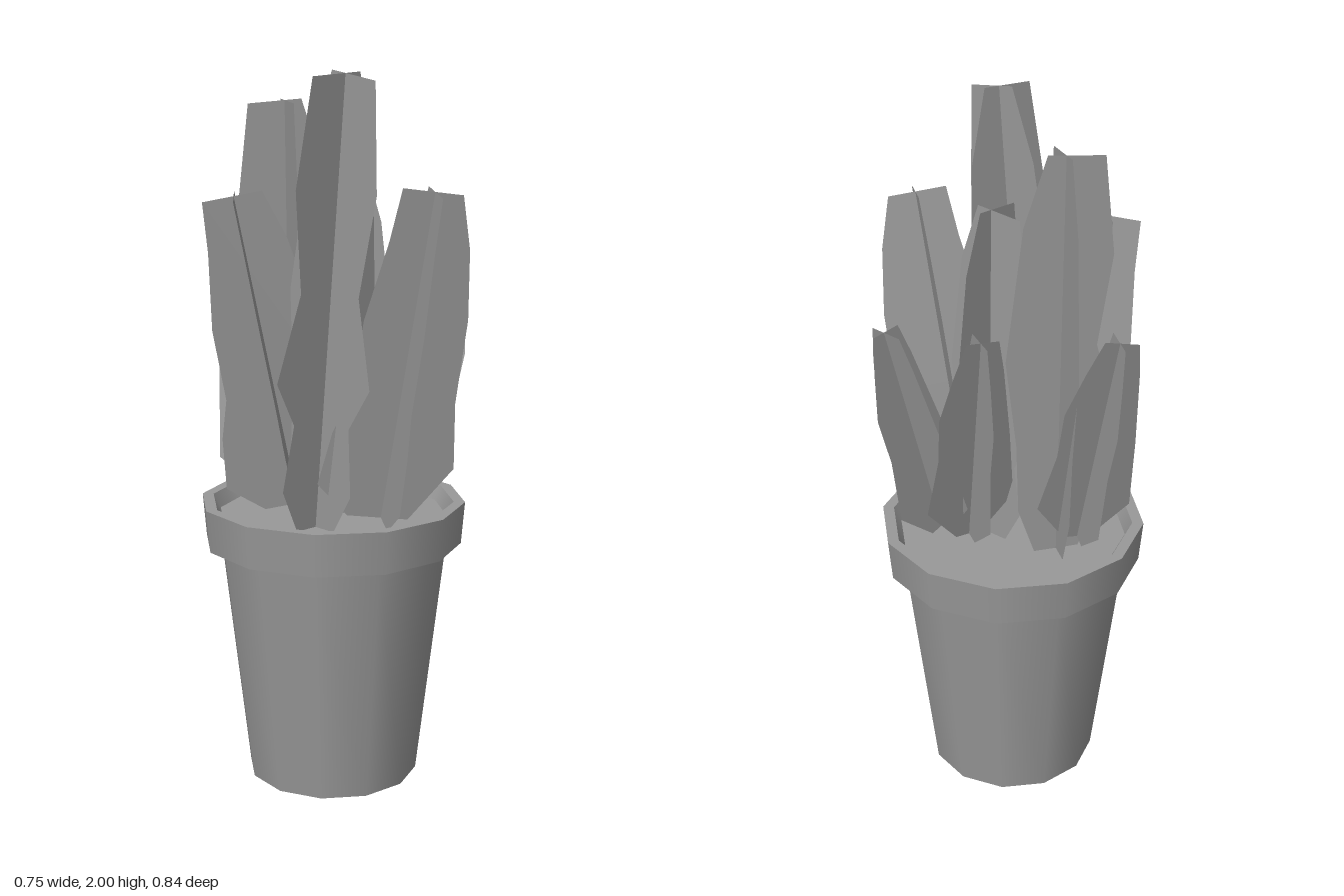
import * as THREE from 'three';

const mat = new THREE.MeshStandardMaterial({ color: 0x999999 });
const leafMat = new THREE.MeshStandardMaterial({ color: 0x999999, side: THREE.DoubleSide });

// One ring per profile step, so rims stay sharp while the round stays smooth
function rings(name, profile) {
  const group = new THREE.Group();
  group.name = name;
  for (let i = 0; i < profile.length - 1; i++) {
    const pts = [profile[i], profile[i + 1]].map(([r, y]) => new THREE.Vector2(r, y));
    const geo = new THREE.LatheGeometry(pts, 12);
    geo.normalizeNormals();
    const mesh = new THREE.Mesh(geo, mat);
    mesh.name = name + 'Ring';
    group.add(mesh);
  }
  return group;
}

// Ragged leaf outlines: [half-width factor, position along the leaf]
const BROAD = [[0.4, 0.03], [0.95, 0.2], [0.8, 0.4], [0.77, 0.65], [0.62, 0.85], [0.4, 1],
  [-0.45, 1], [-0.52, 0.85], [-0.7, 0.62], [-0.72, 0.4], [-0.9, 0.28], [-1, 0.12], [-0.5, 0.03]];
const TALL = [[0.4, 0], [0.7, 0.12], [0.75, 0.3], [0.95, 0.52], [0.68, 0.84], [0.3, 1],
  [-0.65, 0.99], [-0.85, 0.76], [-0.62, 0.54], [-1, 0.35], [-0.6, 0.25], [-0.75, 0.1], [-0.4, 0]];
const SMALL = [[0.3, 0.05], [1, 0.22], [0.8, 0.48], [0.82, 0.68], [0.55, 0.86], [0.3, 1],
  [-0.4, 0.98], [-0.55, 0.84], [-0.8, 0.52], [-1, 0.2], [-0.3, 0.05]];

// Two flat cards crossing along the spine from base to tip
function crossedLeaf({ base, tip, angle, width, outline }) {
  const group = new THREE.Group();
  group.name = 'leaf';
  const b = new THREE.Vector3(...base);
  const spine = new THREE.Vector3(...tip).sub(b);
  const length = spine.length();
  const up = spine.normalize();
  const a = THREE.MathUtils.degToRad(angle);
  const side = new THREE.Vector3(Math.cos(a), 0, Math.sin(a));
  side.addScaledVector(up, -side.dot(up)).normalize();
  const out = new THREE.Vector3().crossVectors(side, up);
  [[side, out, 1], [out, side.clone().negate(), -1]].forEach(([x, z, flip]) => {
    const shape = new THREE.Shape(outline.map(([w, t]) => new THREE.Vector2(w * width * flip, t * length)));
    const geo = new THREE.ShapeGeometry(shape);
    geo.applyMatrix4(new THREE.Matrix4().makeBasis(x, up, z).setPosition(b));
    const card = new THREE.Mesh(geo, leafMat);
    card.name = 'leafCard';
    group.add(card);
  });
  return group;
}

export function createModel() {
  const model = new THREE.Group();
  model.name = 'pottedPlant';

  // Tapered pot, overhanging rim and soil
  model.add(rings('pot', [[0, 0], [0.245, 0], [0.325, 0.69]]));
  model.add(rings('rim', [[0.31, 0.69], [0.367, 0.69], [0.377, 0.81], [0.345, 0.81], [0.325, 0.77]]));
  model.add(rings('soil', [[0.326, 0.77], [0, 0.77]]));

  // Leaves; angle is the heading of the first card from +x towards +z
  const leaves = [
    { base: [-0.155, 0.77, 0.06], tip: [-0.18, 1.99, 0.18], angle: 10, width: 0.17, outline: TALL },
    { base: [0.015, 0.77, -0.165], tip: [0.005, 1.92, -0.17], angle: 37, width: 0.16, outline: TALL },
    { base: [0.062, 0.77, 0.035], tip: [0.058, 1.75, 0.025], angle: 92, width: 0.145, outline: TALL },
    { base: [-0.05, 0.77, 0.2], tip: [-0.05, 1.69, 0.37], angle: 43, width: 0.19, outline: BROAD },
    { base: [-0.06, 0.77, -0.07], tip: [-0.26, 1.67, -0.13], angle: 50, width: 0.19, outline: BROAD },
    { base: [0.15, 0.77, 0.13], tip: [0.3, 1.45, 0.195], angle: 92, width: 0.13, outline: SMALL },
    { base: [0.14, 0.77, 0.05], tip: [0.265, 1.49, -0.1], angle: 27, width: 0.13, outline: SMALL },
    { base: [-0.03, 0.77, -0.2], tip: [0.055, 1.49, -0.38], angle: 38, width: 0.135, outline: SMALL },
  ];
  leaves.forEach((leaf) => model.add(crossedLeaf(leaf)));
  return model;
}
